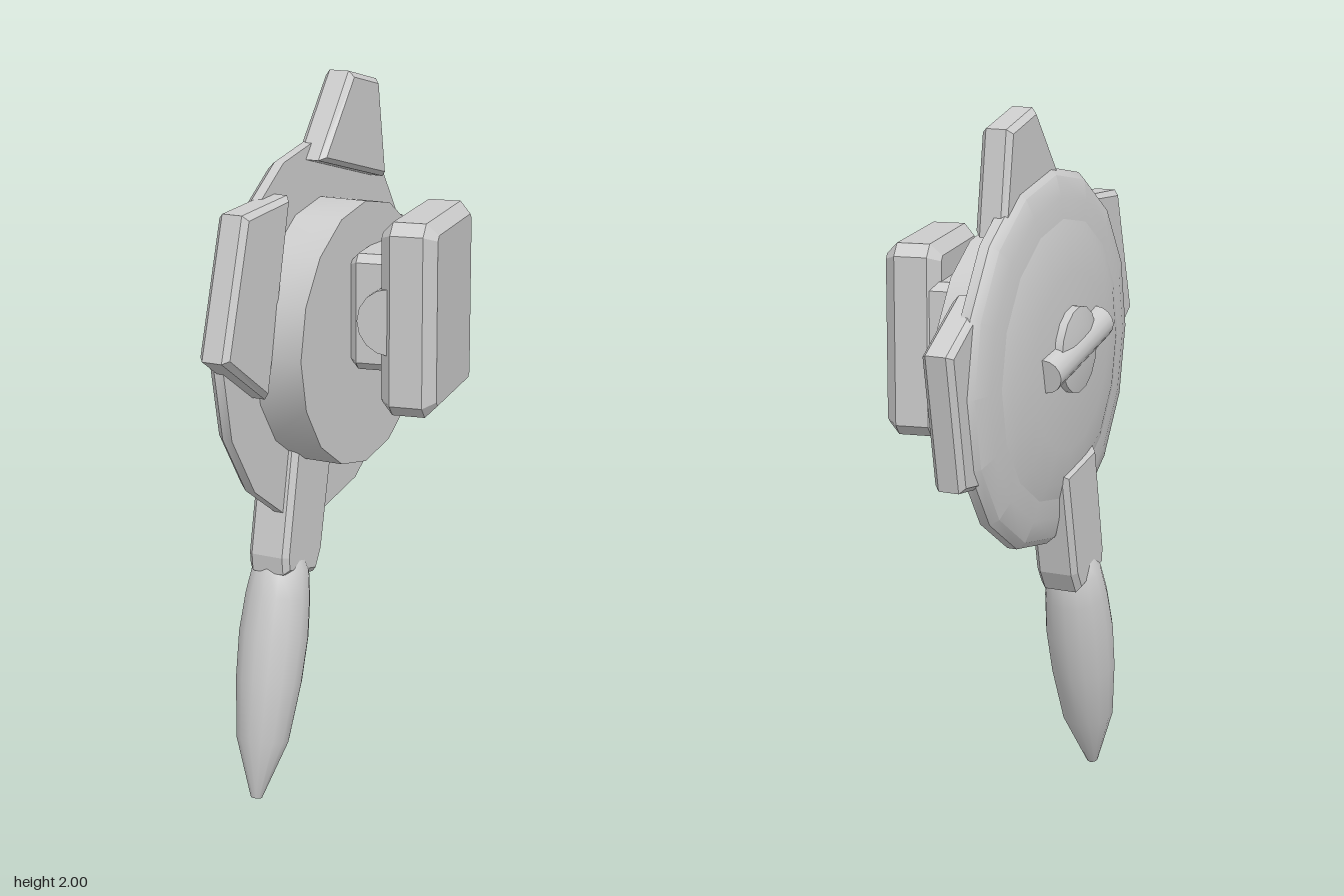
import * as THREE from 'three';
import { toCreasedNormals } from 'three/addons/utils/BufferGeometryUtils.js';

const CENTRE_Y = 1.3, CENTRE_Z = 0.005, TURN = 0.18;

export function createModel() {
  const model = new THREE.Group();
  const grey = new THREE.MeshStandardMaterial({ color: 0xcccccc });
  grey.name = 'plain grey';

  const add = (parent, name, geometry, x = 0, y = 0, z = 0) => {
    const mesh = new THREE.Mesh(geometry, grey);
    mesh.name = name;
    mesh.position.set(x, y, z);
    parent.add(mesh);
    return mesh;
  };

  // Turned part whose axis runs along x; profile is [radius, x]
  const turned = (profile, sides) => {
    const g = new THREE.LatheGeometry(profile.map(([r, h]) => new THREE.Vector2(r, h)), sides);
    return toCreasedNormals(g.rotateZ(-Math.PI / 2), 0.6);
  };

  // Bevelled slab with outline [z, y], spanning x0 to x1
  const slab = (outline, x0, x1, bevel) => {
    const g = new THREE.ExtrudeGeometry(new THREE.Shape(outline.map(([z, y]) => new THREE.Vector2(-z, y))), {
      depth: x1 - x0 - 2 * bevel, bevelThickness: bevel, bevelSize: bevel,
      bevelOffset: -bevel, bevelSegments: 1,
    });
    return g.rotateY(Math.PI / 2).translate(x0 + bevel, 0, 0);
  };

  // Slab whose outline is measured from the side, fitted to the turned disc
  const plate = (outline, x0, x1, bevel) => slab(
    outline.map(([z, y]) => [(z - CENTRE_Z - 0.005) / Math.cos(TURN), y - CENTRE_Y]), x0, x1, bevel);

  // Box with all edges chamfered
  const chamferBox = (w, h, d, c) => {
    const y = h / 2, z = d / 2;
    return slab([
      [z, -y + c], [z - c, -y], [-z + c, -y], [-z, -y + c],
      [-z, y - c], [-z + c, y], [z - c, y], [z, y - c],
    ], -w / 2, w / 2, c);
  };

  // Disc assembly, turned slightly toward the front
  const disc = new THREE.Group();
  disc.name = 'discAssembly';
  disc.position.set(-0.12, CENTRE_Y, CENTRE_Z);
  disc.rotation.y = -TURN;
  model.add(disc);

  // Thin rim disc with a shallow domed centre on its back
  add(disc, 'rimDisc', turned([
    [0, -0.06], [0.36, -0.056], [0.45, -0.046], [0.51, -0.03], [0.53, -0.008], [0.53, 0.02], [0, 0.02],
  ], 16));
  add(disc, 'backDome', turned([
    [0, -0.092], [0.12, -0.09], [0.25, -0.08], [0.35, -0.066], [0.4, -0.05], [0.4, -0.02], [0, -0.02],
  ], 16));
  add(disc, 'frontDrum', turned([[0, 0], [0.367, 0], [0.367, 0.16], [0, 0.16]], 16));

  // Round hub with a key bar across it
  add(disc, 'hub', turned([[0, -0.122], [0.07, -0.12], [0.12, -0.11], [0.12, -0.07], [0, -0.07]], 16), 0, 0.04, -0.015);
  const bar = add(disc, 'keyBar', new THREE.CylinderGeometry(0.048, 0.048, 0.37, 16), -0.086, 0.04, -0.015);
  bar.rotation.x = Math.PI / 2 - 0.22;

  // Three wedge teeth on the rim
  const teeth = [
    [[0.09, 1.78], [-0.08, 2.0], [-0.24, 1.96], [-0.28, 1.68]],
    [[-0.4, 1.55], [-0.595, 1.43], [-0.525, 1.055], [-0.265, 1.02]],
    [[0.49, 1.7], [0.26, 1.715], [0.385, 1.19], [0.6, 1.335]],
  ];
  teeth.forEach((outline, i) => add(disc, `tooth${i + 1}`, plate(outline, -0.015, 0.073, 0.015)));

  // Arm holding the grip
  add(disc, 'arm', plate([
    [0.19, 1.02], [0.255, 0.7], [0.25, 0.65], [0.17, 0.63], [0.085, 0.61], [0.05, 0.67], [-0.02, 0.98],
  ], -0.08, 0.045, 0.015));

  // Tapered grip, pointed at the foot
  const gripProfile = [
    [0, 0], [0.016, 0], [0.075, 0.17], [0.094, 0.34], [0.099, 0.47],
    [0.092, 0.58], [0.08, 0.66], [0.045, 0.73], [0, 0.74],
  ].map(([r, h]) => new THREE.Vector2(r, h));
  const grip = add(disc, 'grip', new THREE.LatheGeometry(gripProfile, 14), -0.02, -CENTRE_Y + 0.003, 0.318);
  grip.rotation.x = -0.232;

  // Mounting block, pivot and chamfered pack
  add(model, 'mountBlock', chamferBox(0.16, 0.32, 0.35, 0.022), 0.1, 1.38, -0.035);
  const pivot = add(model, 'pivot', new THREE.CylinderGeometry(0.092, 0.092, 0.3, 16), 0.15, 1.37, 0.035);
  pivot.rotation.x = Math.PI / 2;
  add(model, 'pack', chamferBox(0.155, 0.53, 0.41, 0.032), 0.198, 1.375, -0.01);

  return model;
}
